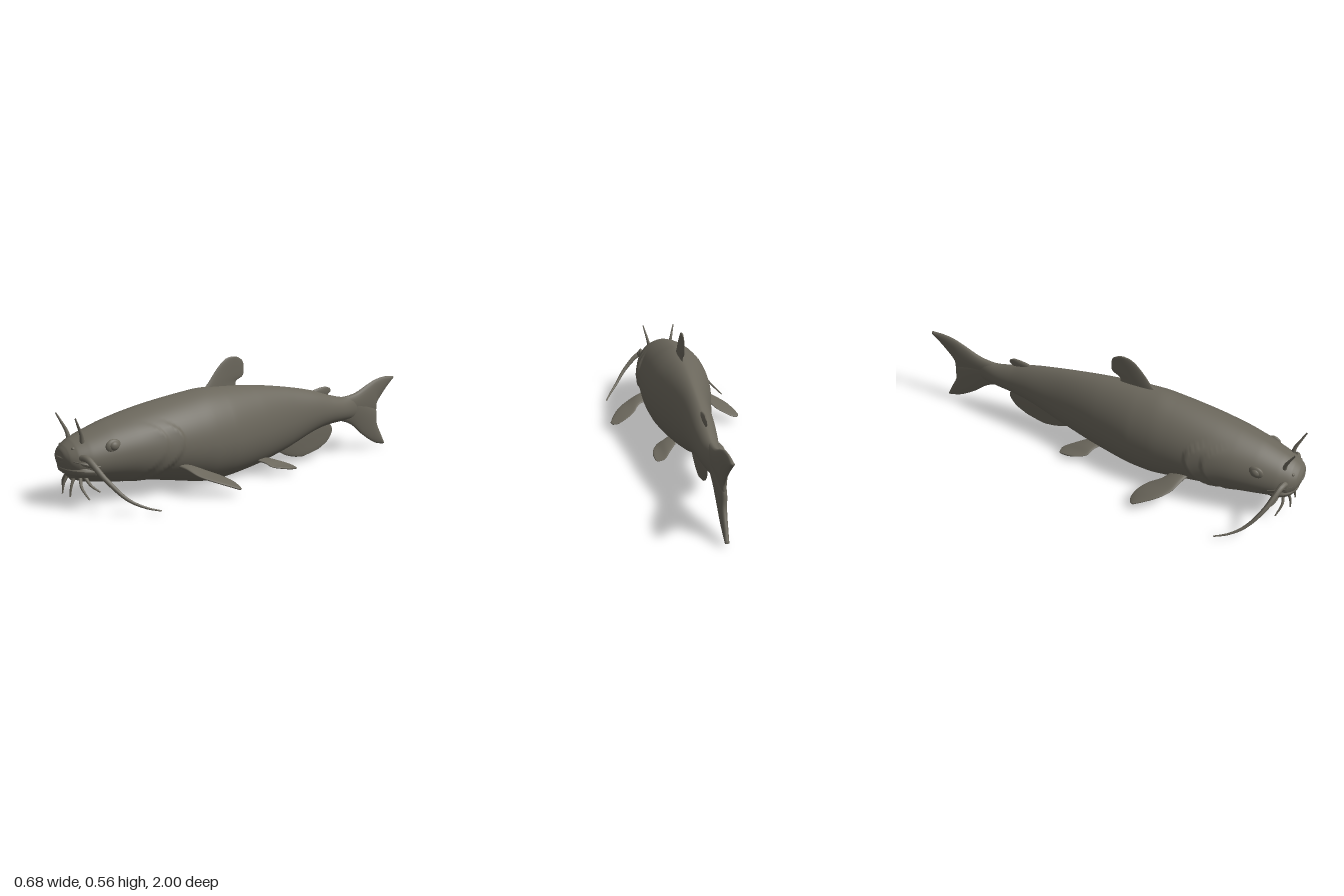
import * as THREE from 'three';

const skin = new THREE.MeshStandardMaterial({ color: 0x6b675c });
skin.name = 'olive grey skin';
const V = (p, s = 1) => new THREE.Vector3(p[0] * s, p[1], p[2]);
const spline = (pts, s = 1) => new THREE.CatmullRomCurve3(pts.map(p => V(p, s)));

// Closed surface from n + 1 rings of m points; point(u, angle) gives each vertex
function loft(n, m, point) {
  const pos = [], idx = [];
  for (let i = 0; i <= n; i++) {
    for (let j = 0; j < m; j++) {
      const p = point(i / n, (j / m) * Math.PI * 2);
      pos.push(p.x, p.y, p.z);
      if (i === n) continue;
      const a = i * m + j, b = i * m + (j + 1) % m;
      idx.push(a, a + m, b, b, a + m, b + m);
    }
  }
  const g = new THREE.BufferGeometry();
  g.setAttribute('position', new THREE.Float32BufferAttribute(pos, 3));
  g.setIndex(idx);
  g.computeVertexNormals();
  return g;
}

// Lens-shaped fin between a leading and a trailing edge; sections run from root to tip
function finGeometry(sections, thick, s = 1) {
  const lead = spline(sections.map(q => q[0]), s), trail = spline(sections.map(q => q[1]), s);
  const mid = u => lead.getPoint(u).add(trail.getPoint(u)).multiplyScalar(0.5);
  return loft(28, 28, (u, a) => {
    const v = Math.min(1, u * 1.03);
    const c = mid(v), half = lead.getPoint(v).sub(c);
    const along = mid(Math.min(1, v + 0.02)).sub(mid(Math.max(0, v - 0.02)));
    const normal = half.clone().cross(along).normalize();
    const close = u === 1 ? 0 : 1;
    const t = thick * (1 - 0.65 * v) * (0.8 + 0.2 * Math.cos(a));
    return c.addScaledVector(half, Math.cos(a) * close).addScaledVector(normal, Math.sin(a) * t * close);
  });
}

// Tube whose radius changes from r0 to r1
function taper(pts, r0, r1, s = 1) {
  const curve = spline(pts, s), n = 28, m = 10;
  const g = new THREE.TubeGeometry(curve, n, 1, m);
  const pos = g.attributes.position, p = new THREE.Vector3();
  for (let i = 0; i < pos.count; i++) {
    const u = Math.floor(i / (m + 1)) / n, c = curve.getPointAt(u);
    p.fromBufferAttribute(pos, i).sub(c).multiplyScalar(r0 + (r1 - r0) * u).add(c);
    pos.setXYZ(i, p.x, p.y, p.z);
  }
  g.computeVertexNormals();
  return g;
}

// Body stations: z, half width, bottom y, top y
const STATIONS = [
  [-0.76, 0.004, 0.2, 0.28], [-0.7, 0.022, 0.185, 0.3], [-0.6, 0.042, 0.178, 0.306],
  [-0.5, 0.054, 0.17, 0.328], [-0.4, 0.065, 0.15, 0.357], [-0.2, 0.087, 0.08, 0.395],
  [0, 0.125, 0.03, 0.42], [0.2, 0.163, 0.003, 0.432], [0.3, 0.172, 0.002, 0.432],
  [0.4, 0.175, 0.018, 0.42], [0.5, 0.173, 0.038, 0.405], [0.6, 0.168, 0.055, 0.387],
  [0.7, 0.158, 0.068, 0.365], [0.8, 0.141, 0.08, 0.338], [0.9, 0.118, 0.095, 0.302],
  [0.95, 0.098, 0.115, 0.28], [0.978, 0.072, 0.15, 0.258], [0.992, 0.04, 0.185, 0.238],
  [0.995, 0, 0.21, 0.21],
];
const sizes = spline(STATIONS.map(s => s.slice(1)));
const depths = spline(STATIONS.map(s => [s[0], 0, 0]));

function bodyPoint(u, a) {
  const { x: w, y: bottom, z: top } = sizes.getPoint(u), z = depths.getPoint(u).x;
  const yc = bottom + (top - bottom) * 0.46;
  const sin = Math.sin(a), cos = Math.cos(a);
  let x = Math.sign(sin) * Math.abs(sin) ** (cos > 0 ? 1.15 : 1) * w;
  let y = yc + cos * (cos > 0 ? top - yc : yc - bottom);
  // Overlapping gill cover folds
  const mask = 1 - THREE.MathUtils.smoothstep(y, 0.28, 0.335);
  const edge = 0.49 + (y < 0.25 ? 5.2 : 14) * (y - 0.25) ** 2;
  let swell = 0;
  for (const [shift, h] of [[0, 0.075], [0.08, 0.04]]) {
    const d = z - edge - shift;
    if (d > 0) swell += h * Math.min(1, d / 0.012) * Math.exp(-d / 0.06);
  }
  const k = 1 + swell * mask * Math.min(1, Math.abs(sin) * 1.6);
  return new THREE.Vector3(x * k, yc + (y - yc) * k, z);
}

const flat = rows => rows.map(r => r.map(([z, y]) => [0, y, z]));

// Middle fins: [z, y] of leading and trailing edge per section
const MIDDLE_FINS = {
  dorsalFin: [0.013, [[[0.29, 0.41], [0.09, 0.41]], [[0.25, 0.45], [0.09, 0.445]], [[0.21, 0.5], [0.05, 0.47]],
    [[0.17, 0.54], [0.044, 0.51]], [[0.14, 0.558], [0.052, 0.54]], [[0.11, 0.563], [0.08, 0.559]]]],
  adiposeFin: [0.014, [[[-0.34, 0.34], [-0.49, 0.315]], [[-0.42, 0.362], [-0.515, 0.335]],
    [[-0.46, 0.369], [-0.526, 0.345]], [[-0.49, 0.37], [-0.52, 0.36]]]],
  analFin: [0.016, [[[-0.12, 0.12], [-0.5, 0.19]], [[-0.17, 0.075], [-0.535, 0.158]], [[-0.22, 0.047], [-0.54, 0.13]],
    [[-0.28, 0.03], [-0.51, 0.085]], [[-0.33, 0.024], [-0.45, 0.05]]]],
  upperTailLobe: [0.03, [[[-0.55, 0.3], [-0.55, 0.19]], [[-0.7, 0.315], [-0.72, 0.18]], [[-0.8, 0.355], [-0.865, 0.19]],
    [[-0.86, 0.377], [-0.872, 0.24]], [[-0.93, 0.388], [-0.92, 0.3]], [[-1, 0.386], [-0.994, 0.37]]]],
  lowerTailLobe: [0.03, [[[-0.55, 0.29], [-0.55, 0.19]], [[-0.72, 0.29], [-0.67, 0.155]], [[-0.865, 0.22], [-0.76, 0.09]],
    [[-0.875, 0.14], [-0.83, 0.047]], [[-0.91, 0.075], [-0.88, 0.024]], [[-0.94, 0.02], [-0.93, 0.013]]]],
};

// Paired fins: [x, y, z] of leading and trailing edge per section
const PECTORAL = [[[0.13, 0.13, 0.52], [0.13, 0.11, 0.43]], [[0.18, 0.118, 0.5], [0.18, 0.1, 0.405]],
  [[0.24, 0.093, 0.475], [0.22, 0.075, 0.345]], [[0.29, 0.073, 0.43], [0.265, 0.054, 0.312]],
  [[0.325, 0.05, 0.37], [0.305, 0.036, 0.303]], [[0.341, 0.034, 0.33], [0.33, 0.03, 0.312]]];
const PELVIC = [[[0.06, 0.075, 0.04], [0.06, 0.065, -0.06]], [[0.11, 0.06, 0.005], [0.1, 0.045, -0.12]],
  [[0.145, 0.045, -0.01], [0.125, 0.03, -0.155]], [[0.17, 0.035, -0.06], [0.155, 0.022, -0.158]],
  [[0.175, 0.028, -0.1], [0.168, 0.022, -0.15]]];

// Barbels: radius and path from root to tip
const BARBELS = {
  MouthBarbel: [0.015, [[0.08, 0.21, 0.94], [0.12, 0.213, 0.93], [0.205, 0.14, 0.895], [0.27, 0.062, 0.835], [0.31, 0.027, 0.775], [0.334, 0.01, 0.72]]],
  NoseBarbel: [0.01, [[0.06, 0.265, 0.918], [0.068, 0.3, 0.925], [0.08, 0.345, 0.945], [0.089, 0.377, 0.96]]],
  InnerChinBarbel: [0.008, [[0.03, 0.13, 0.94], [0.034, 0.09, 0.96], [0.036, 0.045, 0.968]]],
  MiddleChinBarbel: [0.008, [[0.055, 0.13, 0.93], [0.085, 0.09, 0.94], [0.122, 0.043, 0.925]]],
  OuterChinBarbel: [0.008, [[0.07, 0.125, 0.915], [0.1, 0.095, 0.905], [0.13, 0.07, 0.88]]],
};

export function createModel() {
  const group = new THREE.Group();
  const add = (name, geometry) => {
    const mesh = new THREE.Mesh(geometry, skin);
    mesh.name = name;
    group.add(mesh);
    return mesh;
  };
  add('body', loft(200, 72, bodyPoint));
  for (const [name, [thick, rows]] of Object.entries(MIDDLE_FINS)) add(name, finGeometry(flat(rows), thick));

  // Lips wrap round the front of the snout
  const lip = half => [...half, ...half.slice(0, -1).reverse().map(([x, y, z]) => [-x, y, z])];
  add('upperLip', taper(lip([[0.112, 0.172, 0.87], [0.1, 0.184, 0.92], [0.066, 0.2, 0.966], [0, 0.206, 0.985]]), 0.013, 0.013));
  add('lowerLip', taper(lip([[0.09, 0.15, 0.88], [0.085, 0.156, 0.925], [0.058, 0.158, 0.951], [0, 0.158, 0.962]]), 0.024, 0.024));

  for (const [side, s] of [['left', 1], ['right', -1]]) {
    add(side + 'PectoralFin', finGeometry(PECTORAL, 0.016, s));
    add(side + 'PelvicFin', finGeometry(PELVIC, 0.013, s));
    for (const [name, [r, path]] of Object.entries(BARBELS)) add(side + name, taper(path, r, 0.003, s));
    const ball = new THREE.SphereGeometry(1, 24, 16);
    const bump = (name, p, size) => {
      const mesh = add(side + name, ball);
      mesh.position.copy(V(p, s));
      mesh.scale.set(...size);
    };
    bump('EyeSocket', [0.122, 0.25, 0.81], [0.014, 0.03, 0.036]);
    bump('Eye', [0.127, 0.252, 0.81], [0.016, 0.02, 0.022]);
    bump('Nostril', [0.058, 0.248, 0.958], [0.008, 0.007, 0.008]);
  }
  return group;
}
